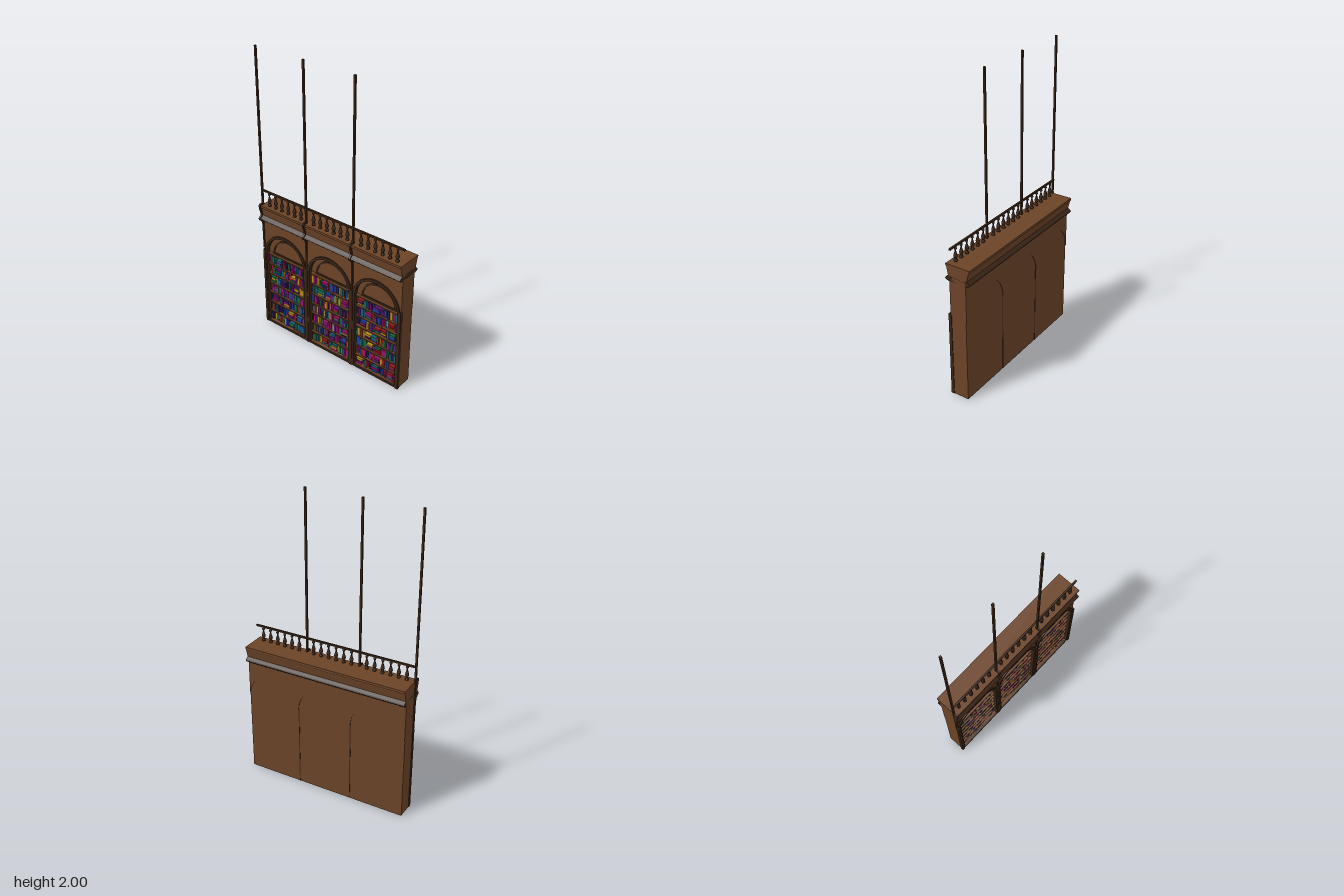
import * as THREE from 'three';
import { mergeGeometries } from 'three/addons/utils/BufferGeometryUtils.js';

const HALF = 0.5625, BAY = 0.375, SPRING = 0.56;
const mat = (color) => new THREE.MeshStandardMaterial({ color });
const wood = mat(0x6b4327), dark = mat(0x3a2516);

function add(parent, name, geometry, material) {
  const mesh = new THREE.Mesh(geometry, material);
  mesh.name = name;
  parent.add(mesh);
  return mesh;
}

// box given by its limits
function box(x0, x1, y0, y1, z0, z1) {
  return new THREE.BoxGeometry(x1 - x0, y1 - y0, z1 - z0)
    .translate((x0 + x1) / 2, (y0 + y1) / 2, (z0 + z1) / 2);
}

// shape drawn in (z, y), thickened from x0 to x1
function slab(shape, x0, x1) {
  return new THREE.ExtrudeGeometry(shape, { depth: x1 - x0, bevelEnabled: false, curveSegments: 20 })
    .rotateY(-Math.PI / 2).translate(x1, 0, 0);
}

// outline in (x, y), run along z
function run(points, z0, z1) {
  const shape = new THREE.Shape(points.map(([x, y]) => new THREE.Vector2(x, y)));
  return new THREE.ExtrudeGeometry(shape, { depth: z1 - z0, bevelEnabled: false }).translate(0, 0, z0);
}

// round-headed outline
function arch(cls, z, r, y0, spring = SPRING) {
  const s = new cls();
  s.moveTo(z - r, y0);
  s.lineTo(z + r, y0);
  s.lineTo(z + r, spring);
  s.absarc(z, spring, r, 0, Math.PI, false);
  s.lineTo(z - r, y0);
  return s;
}

function wallShape() {
  const s = new THREE.Shape();
  s.moveTo(-HALF, 0);
  s.lineTo(HALF, 0);
  s.lineTo(HALF, 0.86);
  s.lineTo(-HALF, 0.86);
  s.closePath();
  return s;
}

// small seeded generator
function seeded(seed) {
  return () => {
    seed = (seed * 1664525 + 1013904223) % 4294967296;
    return seed / 4294967296;
  };
}

export function createModel() {
  const model = new THREE.Group();
  model.name = 'bookcaseWall';
  const bays = [-BAY, 0, BAY];

  // case with three arched openings, closed at the rear
  const front = wallShape();
  bays.forEach((z) => front.holes.push(arch(THREE.Path, z, 0.172, 0.015)));
  add(model, 'archedCase', slab(front, -0.058, 0.03), wood);
  add(model, 'rearPanel', box(0.03, 0.055, 0, 0.86, -HALF, HALF), wood);

  // rear spandrels standing slightly proud around the arches
  const rear = new THREE.Shape();
  rear.moveTo(HALF, 0.86);
  rear.lineTo(-HALF, 0.86);
  rear.lineTo(-HALF, SPRING);
  bays.forEach((z) => rear.absarc(z, SPRING, BAY / 2, Math.PI, 0, true));
  rear.closePath();
  add(model, 'rearSpandrels', slab(rear, 0.055, 0.059), wood);
  for (const z of [-BAY / 2, BAY / 2]) {
    add(model, 'rearSeam', box(0.054, 0.0565, 0, SPRING, z - 0.003, z + 0.003), dark);
  }

  // moulding and flared crown
  add(model, 'moulding', run([
    [-0.065, 0.818], [0.065, 0.818], [0.083, 0.823], [0.09, 0.832], [0.086, 0.84], [0.065, 0.855],
    [-0.065, 0.855], [-0.084, 0.84], [-0.09, 0.832], [-0.082, 0.823],
  ], -HALF, HALF), dark);
  add(model, 'crown', run([
    [-0.065, 0.85], [0.067, 0.85], [0.082, 0.912], [0.088, 0.915], [0.088, 0.93],
    [-0.083, 0.93], [-0.083, 0.915], [-0.077, 0.912],
  ], -HALF, HALF), wood);

  // shelves, books and arch trim of each bay
  const rand = seeded(7);
  const colors = [0x5a1470, 0x9a1268, 0x1c3f9c, 0x14663f, 0xb08a1c, 0x8e1a1f, 0x17606e, 0x2b1b52];
  const books = colors.map(() => []);
  const pick = () => books[Math.floor(rand() * colors.length)];
  const rows = 7, step = (SPRING - 0.015) / rows;

  for (const z of bays) {
    const bay = new THREE.Group();
    bay.name = 'bay';
    model.add(bay);

    const ring = arch(THREE.Shape, z, 0.182, 0);
    ring.holes.push(arch(THREE.Path, z, 0.164, 0.015));
    add(bay, 'archTrim', slab(ring, -0.067, -0.04), dark);
    add(bay, 'lunette', slab(arch(THREE.Shape, z, 0.172, SPRING - 0.01), -0.03, -0.01), wood);
    const inner = arch(THREE.Shape, z, 0.135, SPRING);
    inner.holes.push(arch(THREE.Path, z, 0.123, SPRING + 0.012));
    add(bay, 'lunetteTrim', slab(inner, -0.036, -0.028), dark);

    for (let row = 0; row <= rows; row++) {
      const y = 0.015 + row * step;
      add(bay, 'shelf', box(-0.052, 0.031, y - 0.008, y, z - 0.173, z + 0.173), wood);
      if (row === rows) break;
      let at = z - 0.162;
      while (at < z + 0.145) {
        const kind = rand();
        if (kind < 0.1) {
          at += 0.012;                      // gap
        } else if (kind < 0.2 && at < z + 0.11) {
          let h = y;                        // lying pile
          for (let i = 0; i < 3; i++) {
            const t = 0.011 + rand() * 0.005;
            pick().push(box(-0.044 + rand() * 0.01, 0.02, h, h + t, at, at + 0.04 + rand() * 0.008));
            h += t;
          }
          at += 0.05;
        } else {
          const w = 0.009 + rand() * 0.009;
          const h = 0.045 + rand() * 0.02;
          pick().push(box(-0.046 + rand() * 0.012, 0.02, y, y + h, at, at + w));
          at += w + 0.001;
        }
      }
    }
  }
  books.forEach((list, i) => {
    if (list.length) add(model, 'books', mergeGeometries(list), mat(colors[i]));
  });

  // poles on brackets that wrap the crown, with pilasters below
  for (const z of [-HALF, -BAY / 2, BAY / 2]) {
    add(model, 'pole', box(-0.063, -0.051, 0.92, 2, z - 0.006, z + 0.006), dark);
    add(model, 'bracket', run([
      [-0.05, 0.6], [-0.05, 0.94], [-0.086, 0.94], [-0.092, 0.93], [-0.09, 0.91], [-0.076, 0.86],
      [-0.097, 0.838], [-0.095, 0.825], [-0.073, 0.808], [-0.066, 0.78], [-0.064, 0.6],
    ], z - 0.006, z + 0.006), dark);
  }
  for (const z of [-HALF + 0.005, -BAY / 2, BAY / 2, HALF - 0.005]) {
    add(model, 'pilaster', box(-0.071, -0.05, 0, SPRING + 0.03, z - 0.009, z + 0.009), dark);
  }

  // balustrade
  add(model, 'handrail', box(-0.055, -0.043, 1.024, 1.035, -HALF, HALF), dark);
  const turned = new THREE.LatheGeometry([
    [0, 0], [0.011, 0], [0.011, 0.008], [0.006, 0.014], [0.007, 0.02], [0.013, 0.033],
    [0.011, 0.045], [0.005, 0.065], [0.004, 0.075], [0.009, 0.082], [0.009, 0.088], [0.005, 0.097],
  ].map(([r, y]) => new THREE.Vector2(r, y)), 12);
  for (const z of bays) {
    for (let i = 0; i < 6; i++) {
      add(model, 'baluster', turned, dark).position.set(-0.047, 0.93, z + (i - 2.5) * 0.054);
    }
  }
  return model;
}
